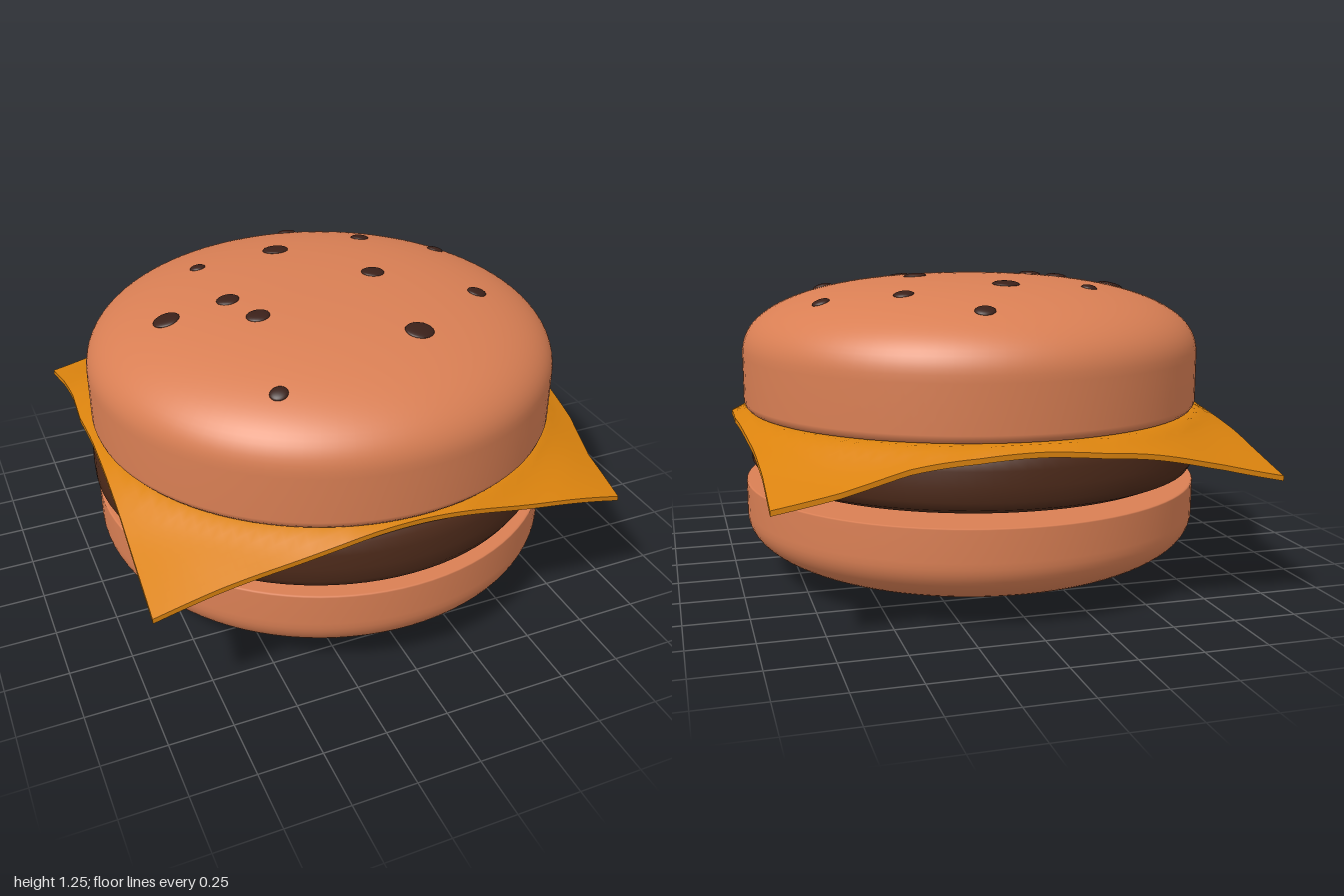
import * as THREE from 'three';

const BUN = 0xd97f54, PATTY = 0x4d2a1a, CHEESE = 0xdb830e, SEED = 0x3a2019;
const R = 0.953, DOME = 0.32, POWER = 2.4, BUN_Z = 0.022;

const material = (color) => new THREE.MeshStandardMaterial({ color, roughness: 0.8 });

function lathe(name, points, color, x, z) {
  const profile = points.map(([r, y]) => new THREE.Vector2(r, y));
  const mesh = new THREE.Mesh(new THREE.LatheGeometry(profile, 96), material(color));
  mesh.name = name;
  mesh.position.set(x, 0, z);
  return mesh;
}

// Rounded dome profile from rim to pole
function dome(y, height) {
  const points = [];
  for (let i = 0; i <= 28; i++) {
    const a = (i / 28) * Math.PI / 2;
    const c = Math.max(0, Math.cos(a)), s = Math.sin(a);
    points.push([R * c ** (2 / POWER), y + height * s ** (2 / POWER)]);
  }
  return points;
}
const domeHeight = (r) => 0.93 + DOME * (1 - (r / R) ** POWER) ** (1 / POWER);

// Linear interpolation through evenly spaced samples, t in -1..1
function sample(values, t) {
  const f = (t + 1) / 2 * (values.length - 1);
  const i = Math.min(Math.floor(f), values.length - 2);
  return THREE.MathUtils.lerp(values[i], values[i + 1], f - i);
}

// Thin square slice with wavy edges, drooping outside the patty
function cheeseSlice() {
  const left = [-0.95, -0.945, -0.95, -0.97, -0.97, -0.975, -0.98, -0.99, -1.0];
  const right = [0.955, 0.955, 0.965, 0.98, 0.995, 0.99, 0.96, 0.89, 0.87];
  const back = [-0.96, -0.955, -0.975, -0.99, -0.98, -0.975, -0.955, -0.965, -0.95];
  const front = [0.935, 0.94, 0.95, 0.96, 0.965, 0.968, 0.97, 0.97, 0.97];
  const geometry = new THREE.BoxGeometry(2, 0.02, 2, 48, 1, 48);
  const p = geometry.attributes.position;
  for (let i = 0; i < p.count; i++) {
    const u = p.getX(i), v = p.getZ(i);
    const x = THREE.MathUtils.lerp(sample(left, v), sample(right, v), (u + 1) / 2);
    const z = THREE.MathUtils.lerp(sample(back, u), sample(front, u), (v + 1) / 2);
    const t = Math.max(0, (Math.hypot(x, z) - 0.955) / 0.44);
    const ripple = 0.008 * Math.min(1, t * 3) * Math.sin(9 * Math.atan2(z, x));
    p.setXYZ(i, x, 0.702 + p.getY(i) - 0.18 * t ** 0.78 + ripple, z);
  }
  geometry.computeVertexNormals();
  const mesh = new THREE.Mesh(geometry, material(CHEESE));
  mesh.name = 'cheese';
  return mesh;
}

// Flattened seeds lying along the slope of the top bun
function seeds() {
  const group = new THREE.Group();
  group.name = 'seeds';
  const spots = [
    [0.14, -0.7, 0.04], [-0.39, -0.365, 0.033], [-0.04, -0.37, 0.055], [0.38, -0.42, 0.04],
    [0.67, -0.25, 0.036], [-0.64, 0.02, 0.054], [-0.39, 0.025, 0.046], [0.235, 0.025, 0.048],
    [-0.33, 0.205, 0.047], [0.59, 0.26, 0.04], [0.2, 0.515, 0.057], [-0.42, 0.655, 0.035],
  ];
  const geometry = new THREE.SphereGeometry(1, 20, 12);
  const seedMaterial = material(SEED);
  const up = new THREE.Vector3(0, 1, 0);
  spots.forEach(([x, z, size], i) => {
    const dz = z - BUN_Z, r = Math.hypot(x, dz);
    const slope = (domeHeight(r + 0.01) - domeHeight(r - 0.01)) / 0.02;
    const normal = new THREE.Vector3(-slope * x / r, 1, -slope * dz / r).normalize();
    const seed = new THREE.Mesh(geometry, seedMaterial);
    seed.name = 'seed' + (i + 1);
    seed.position.set(x, domeHeight(r), z);
    seed.quaternion.setFromUnitVectors(up, normal);
    seed.scale.set(size, 0.012, size * 0.92);
    group.add(seed);
  });
  return group;
}

export function createModel() {
  const burger = new THREE.Group();
  burger.name = 'burger';

  // Bottom bun: domed underside, flat cut top
  const bottom = [...dome(0.28, -0.275).reverse(), [R, 0.404], [R - 0.003, 0.408], [R - 0.01, 0.409], [0, 0.409]];
  burger.add(lathe('bottomBun', bottom, BUN, 0, BUN_Z));

  // Patty: flat disc with rounded rim
  const patty = [[0, 0.412], [0.6, 0.414], [0.77, 0.421], [0.87, 0.438], [0.925, 0.462], [0.945, 0.495],
    [0.947, 0.55], [0.945, 0.61], [0.935, 0.655], [0.91, 0.683], [0.88, 0.691], [0, 0.692]];
  burger.add(lathe('patty', patty, PATTY, -0.02, 0.04));

  burger.add(cheeseSlice());

  // Top bun: flat base with a small bevel, domed top
  const top = [[0, 0.712], [0.92, 0.712], [0.937, 0.715], [0.948, 0.728], [R, 0.745], ...dome(0.93, DOME)];
  burger.add(lathe('topBun', top, BUN, 0, BUN_Z));
  burger.add(seeds());

  return burger;
}
